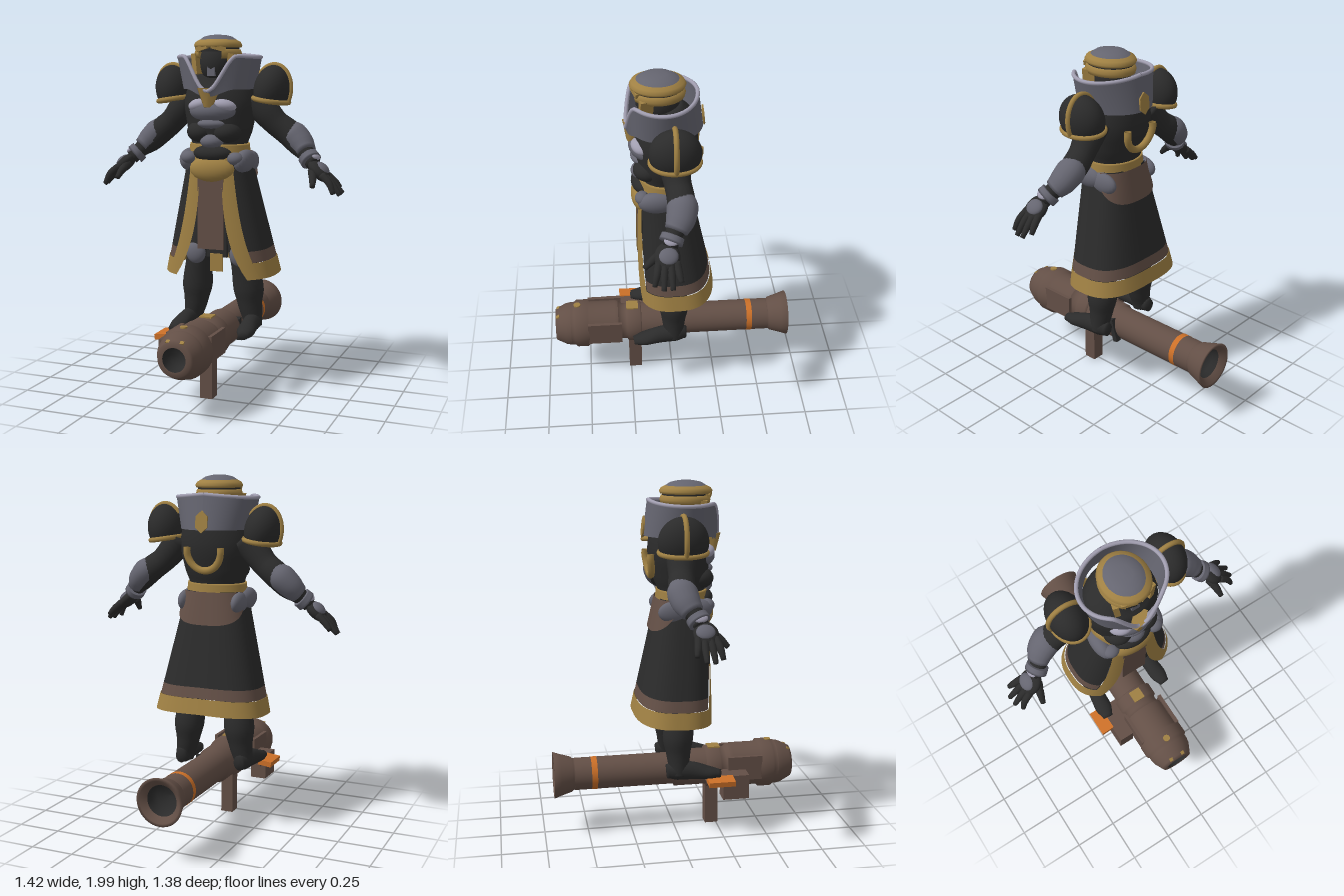
import * as THREE from 'three';
import { mergeVertices } from 'three/addons/utils/BufferGeometryUtils.js';

const paint = (name, color) => new THREE.MeshStandardMaterial({ name, color, side: THREE.DoubleSide });
const black = paint('charcoal', 0x2b2b2b), brown = paint('brown', 0x634f46), gold = paint('gold', 0x9f8043);
const grey = paint('steel', 0x656570), pale = paint('pale steel', 0xa19eb0), orange = paint('orange', 0xcc7028);
const V = (x, y, z) => new THREE.Vector3(x, y, z);
const { sin, cos, PI, min, max, pow, abs, sqrt, sign } = Math;

export function createModel() {
  const root = new THREE.Group();

  // Adds a part, baking its placement into the geometry.
  function add(name, geo, mat, p = [0, 0, 0], s = [1, 1, 1], r = [0, 0, 0]) {
    const q = new THREE.Quaternion().setFromEuler(new THREE.Euler(...r));
    geo.applyMatrix4(new THREE.Matrix4().compose(V(...p), q, V(...s)));
    const m = new THREE.Mesh(geo, mat);
    m.name = name;
    root.add(m);
    return m;
  }
  // Adds a left part and its mirrored right twin.
  function pair(name, geo, mat, p, s, r) {
    const left = add('left' + name, geo, mat, p, s, r);
    const g = left.geometry.clone().scale(-1, 1, 1);
    const ix = g.index.array;
    for (let i = 0; i < ix.length; i += 3) [ix[i], ix[i + 1]] = [ix[i + 1], ix[i]];
    add('right' + name, g, mat);
  }
  // Surface over a grid, fn(u, v) -> Vector3.
  function grid(fn, nu, nv) {
    const pos = [], idx = [];
    for (let j = 0; j <= nv; j++) for (let i = 0; i <= nu; i++) pos.push(...fn(i / nu, j / nv).toArray());
    for (let j = 0; j < nv; j++) for (let i = 0; i < nu; i++) {
      const a = j * (nu + 1) + i, b = a + nu + 1;
      idx.push(a, a + 1, b, a + 1, b + 1, b);
    }
    let g = new THREE.BufferGeometry();
    g.setAttribute('position', new THREE.Float32BufferAttribute(pos, 3));
    g.setIndex(idx);
    g = mergeVertices(g, 1e-5);
    g.computeVertexNormals();
    return g;
  }
  // Rounded limb through sections [x, y, z, half width, half depth].
  function limb(sec, sides = 20) {
    const path = new THREE.CatmullRomCurve3(sec.map(s => V(s[0], s[1], s[2])), false, 'centripetal');
    const size = new THREE.CatmullRomCurve3(sec.map(s => V(s[3], s[4] ?? s[3], 0)), false, 'catmullrom', 0.3);
    const n = (sec.length - 1) * 4;
    return grid((u, v) => {
      const k = v * (n + 2) - 1, t = min(1, max(0, k / n)), c = path.getPoint(t);
      if (k < -0.5 || k > n + 0.5) return c;
      const d = path.getTangent(t), ref = abs(d.z) > 0.8 ? V(0, 1, 0) : V(0, 0, 1);
      const side = V().crossVectors(d, ref).normalize(), up = V().crossVectors(side, d);
      const r = size.getPoint(t), a = (u % 1) * 2 * PI;
      return c.addScaledVector(side, cos(a) * r.x).addScaledVector(up, sin(a) * r.y);
    }, sides, n + 2);
  }
  const ball = () => new THREE.SphereGeometry(1, 24, 16);
  const box = (x, y, z) => new THREE.BoxGeometry(x, y, z);
  const lathe = (pts, a = 0, l = 2 * PI) => new THREE.LatheGeometry(pts.map(p => new THREE.Vector2(...p)), 40, a, l);
  const wire = (pts, r, closed = false) =>
    new THREE.TubeGeometry(new THREE.CatmullRomCurve3(pts, closed), 40, r, 8, closed);
  const arc = (n, a0, a1, fn) => Array.from({ length: n }, (_, i) => fn(a0 + (a1 - a0) * i / (n - 1)));

  // Launcher, lying along z
  const ring = (name, pts, mat) => add(name, lathe(pts), mat, [0, 0.355, 0], [1, 1, 1], [PI / 2, 0, 0]);
  ring('launcherFlare', [[0.085, -0.66], [0.115, -0.69], [0.132, -0.69], [0.118, -0.65], [0.1, -0.59], [0.09, -0.58], [0.09, -0.57]], brown);
  ring('launcherRearBore', [[0, -0.56], [0.075, -0.57], [0.085, -0.62], [0.115, -0.69]], black);
  ring('launcherTube', [[0.086, -0.575], [0.092, -0.57], [0.092, 0], [0.105, 0], [0.105, 0.2]], brown);
  ring('launcherStripe', [[0.0935, -0.478], [0.0935, -0.445]], orange);
  ring('launcherCollar', [[0.1, 0.18], [0.12, 0.19], [0.12, 0.26], [0.105, 0.27], [0.105, 0.3], [0.122, 0.32]], brown);
  ring('launcherHousing', [[0.122, 0.32], [0.126, 0.34], [0.126, 0.49], [0.14, 0.5], [0.14, 0.565], [0.128, 0.58], [0.128, 0.6]], brown);
  ring('launcherNose', [[0.128, 0.6], [0.122, 0.63], [0.1, 0.675], [0.092, 0.69], [0.065, 0.69]], brown);
  ring('launcherMuzzle', [[0.065, 0.69], [0.06, 0.6], [0, 0.6]], black);
  add('launcherStrap', box(0.035, 0.14, 0.03), black, [0.085, 0.345, -0.03], undefined, [0.3, 0, 0]);
  add('launcherGrip', box(0.072, 0.25, 0.075), brown, [0, 0.135, 0.222]);
  pair('LauncherPanel', box(0.02, 0.14, 0.2), brown, [0.12, 0.37, 0.4]);
  add('launcherSight', box(0.09, 0.14, 0.15), brown, [-0.175, 0.295, 0.325]);
  add('sightArm', box(0.14, 0.04, 0.24), brown, [-0.15, 0.345, 0.28]);
  add('sightPlate', box(0.08, 0.03, 0.15), orange, [-0.25, 0.35, 0.23], undefined, [0, 0, 0.12]);
  add('launcherTopPlate', box(0.07, 0.008, 0.07), gold, [0, 0.475, 0.235]);
  add('launcherButton', new THREE.CylinderGeometry(0.02, 0.02, 0.008, 16), gold, [0, 0.496, 0.56]);
  add('noseMark', box(0.1, 0.008, 0.02), gold, [0, 0.446, 0.675], undefined, [0.5, 0, 0]);

  // Legs and boots
  pair('Leg', limb([[0.09, 1.1, 0.02, 0.085], [0.11, 0.88, 0.02, 0.083], [0.135, 0.75, 0.02, 0.075], [0.155, 0.6, 0, 0.086],
    [0.165, 0.5, 0, 0.068], [0.18, 0.42, 0, 0.055], [0.185, 0.38, 0, 0.05]]), black);
  pair('Boot', limb([[0.18, 0.405, -0.07, 0.03, 0.04], [0.185, 0.41, -0.01, 0.047, 0.055], [0.192, 0.405, 0.08, 0.046, 0.05],
    [0.2, 0.39, 0.17, 0.05, 0.035], [0.207, 0.382, 0.235, 0.03, 0.022]]), black);
  pair('Knee', ball(), grey, [0.13, 0.795, 0.085], [0.058, 0.062, 0.035]);

  // Skirt: s runs from the front edge round to the back, t from waist to hem
  function skirt(s, t, off = 0) {
    const rx = 0.165 + 0.155 * t + off, zf = 0.185 + 0.018 * t + off, zb = -0.09 - 0.14 * t - off;
    const edge = 0.06 + 0.02 * t + 0.13 * pow(t, 3.5);
    const a0 = Math.asin(pow(edge / rx, 1 / 0.75)), a = a0 + (PI - a0) * s, c = cos(a);
    return V(rx * pow(abs(sin(a)), 0.75), 1.37 - 0.69 * t + 0.03 * t * s, (zf + zb) / 2 + sign(c) * (zf - zb) / 2 * pow(abs(c), 0.75));
  }
  const cloth = (s0, s1, t0, t1, off) => grid((u, v) => skirt(s0 + (s1 - s0) * u, t0 + (t1 - t0) * v, off), 30, 16);
  pair('SkirtCloth', cloth(0.13, 1, 0, 0.78), black);
  pair('SkirtBand', cloth(0.13, 1, 0.78, 0.87), brown);
  pair('SkirtHem', cloth(0.13, 1, 0.87, 1, 0.004), gold);
  pair('SkirtFrontTrim', cloth(0, 0.13, 0, 1, 0.004), gold);
  pair('BackFlap', grid((u, v) => {
    const s = 0.55 + 0.45 * u;
    return skirt(s, v * (0.06 + 0.21 * sqrt(max(0, 1 - pow(1 - u, 2)))), 0.012);
  }, 20, 8), brown);
  add('tabard', box(0.15, 0.44, 0.012), brown, [0, 1.06, 0.185]);
  add('loinTip', box(0.075, 0.1, 0.012), gold, [0, 0.75, 0.1]);
  add('loinCloth', box(0.12, 0.3, 0.02), black, [0, 0.93, 0.09]);

  // Torso and belt
  add('torso', limb([[0, 1.28, 0.04, 0.15, 0.12], [0, 1.4, 0.045, 0.155, 0.13], [0, 1.5, 0.04, 0.185, 0.155], [0, 1.62, 0.03, 0.205, 0.17],
    [0, 1.73, 0.03, 0.185, 0.155], [0, 1.82, 0.05, 0.1, 0.1]], 32), black);
  add('belt', limb([[0, 1.345, 0.045, 0.177, 0.145], [0, 1.38, 0.045, 0.172, 0.142], [0, 1.415, 0.045, 0.168, 0.14]], 32), gold);
  add('buckle', ball(), gold, [0, 1.28, 0.16], [0.13, 0.078, 0.062]);
  add('buckleTop', ball(), black, [0, 1.365, 0.155], [0.11, 0.05, 0.065]);
  pair('HipPlate', ball(), grey, [0.158, 1.32, 0.085], [0.05, 0.065, 0.105], [0, 0, -0.2]);
  pair('RearHipPlate', ball(), grey, [0.16, 1.31, -0.02], [0.035, 0.06, 0.09]);
  pair('HipBoss', ball(), grey, [0.135, 1.34, 0.165], [0.045, 0.035, 0.04]);
  add('abdomenPlate', ball(), grey, [0, 1.43, 0.15], [0.07, 0.045, 0.07]);
  pair('AbdomenMuscle', ball(), black, [0.075, 1.48, 0.13], [0.08, 0.06, 0.08]);
  add('chestPlate', ball(), grey, [0, 1.595, 0.115], [0.145, 0.075, 0.115]);
  pair('ChestHighlight', ball(), pale, [0.075, 1.625, 0.165], [0.065, 0.035, 0.05], [0, 0.4, -0.2]);
  add('sternumPlate', ball(), grey, [0, 1.525, 0.16], [0.085, 0.03, 0.06]);
  add('backRing', wire(arc(16, PI * 0.95, PI * 2.05, a => V(0.1 * cos(a), 1.6 + 0.11 * sin(a), -0.142 + 0.015 * abs(sin(a)))), 0.02), gold);

  // Collar, open and dipping at the front
  const rise = a => { const k = min(1, a / 0.75); return k * k * (3 - 2 * k); };
  const collar = (a, v, off = 0) => {
    const top = 1.7 + 0.2 * rise(a) - 0.02 * sin(a) * rise(a), low = 1.67 + 0.04 * rise(a);
    const w = 0.2 + 0.035 * v + off, d = a < PI / 2 ? 0.18 + 0.015 * v + off : 0.215 - 0.025 * v + off;
    return V(w * sin(a), low + (top - low) * v, 0.05 + d * cos(a));
  };
  pair('Collar', grid((u, v) => collar(u * PI, v), 36, 8), grey);
  pair('CollarLining', grid((u, v) => collar(u * PI, v, -0.012), 36, 8), grey);
  pair('CollarRim', wire(arc(24, 0, PI, a => collar(a, 1, -0.006)), 0.011), pale);
  add('throatPlate', new THREE.CylinderGeometry(0.07, 0.025, 0.1, 6, 1), gold, [0, 1.665, 0.215], [1, 1, 0.5], [-0.1, PI / 6, 0]);
  add('backEmblemPlate', new THREE.CylinderGeometry(0.05, 0.05, 0.009, 6), gold, [0, 1.755, -0.166], [0.8, 1, 1.2], [PI / 2 + 0.1, 0, 0]);

  // Helmet
  const hat = (name, pts, mat, a, l) => add(name, lathe(pts, a, l), mat, [0, 0, 0.07], [1, 1, 1.13]);
  add('head', ball(), black, [0, 1.85, 0.07], [0.1, 0.12, 0.115]);
  hat('helmetCrown', [[0.098, 1.974], [0.075, 1.99], [0.04, 1.999], [0, 2]], grey);
  hat('helmetBrim', [[0.1, 1.93], [0.124, 1.932], [0.129, 1.945], [0.12, 1.962], [0.098, 1.974]], gold);
  hat('helmetSeam', [[0.114, 1.91], [0.114, 1.935]], black);
  hat('helmetBand', [[0.1, 1.872], [0.122, 1.88], [0.127, 1.9], [0.12, 1.922], [0.105, 1.924]], gold, 0.55, 2 * PI - 1.1);
  pair('CheekGuard', box(0.03, 0.11, 0.07), gold, [0.092, 1.845, 0.135], undefined, [0, 0.3, -0.12]);
  add('mouthGuard', box(0.045, 0.05, 0.03), grey, [0, 1.805, 0.165]);
  pair('Brow', box(0.08, 0.025, 0.03), gold, [0.045, 1.928, 0.185], undefined, [0, 0.35, -0.25]);

  // Shoulder pads with ridge and lower trim
  const tilt = [0, 0, -0.15], at = [0.29, 1.705, 0.003];
  pair('ShoulderPad', new THREE.SphereGeometry(1, 28, 14, 0, 2 * PI, 0, 0.64 * PI), black, at, [0.1, 0.135, 0.135], tilt);
  pair('PadRidge', wire(arc(16, -0.4, 2.6, a => V(0.101 * cos(a), 0.136 * sin(a), 0)), 0.014), gold, at, undefined, tilt);
  pair('PadTrim', wire(arc(20, 0, 2 * PI * 0.95, a => V(0.093 * cos(a), -0.055, 0.126 * sin(a))), 0.014, true), gold, at, undefined, tilt);

  // Arms
  pair('Arm', limb([[0.19, 1.66, 0, 0.08], [0.25, 1.59, 0, 0.078], [0.31, 1.525, -0.01, 0.07], [0.37, 1.48, -0.02, 0.072],
    [0.44, 1.415, -0.01, 0.066], [0.5, 1.355, 0.03, 0.043], [0.54, 1.315, 0.05, 0.04]]), black);
  pair('Forearm', limb([[0.365, 1.5, -0.025, 0.055, 0.06], [0.405, 1.465, -0.025, 0.072, 0.08], [0.45, 1.42, -0.012, 0.068, 0.076],
    [0.49, 1.375, 0.015, 0.052, 0.06]]), grey);
  pair('ElbowPlate', ball(), pale, [0.425, 1.482, -0.015], [0.068, 0.03, 0.05], [0, 0, -0.8]);
  pair('WristCuff', limb([[0.5, 1.355, 0.03, 0.055, 0.06], [0.525, 1.33, 0.045, 0.057, 0.062]]), grey);
  pair('CuffHighlight', ball(), pale, [0.545, 1.36, 0.04], [0.03, 0.016, 0.04], [0, 0, -0.75]);
  pair('Palm', ball(), black, [0.575, 1.28, 0.065], [0.075, 0.036, 0.066], [0, 0, -0.75]);
  pair('HandPlate', ball(), grey, [0.59, 1.295, 0.06], [0.045, 0.025, 0.05], [0, 0, -0.75]);
  [[0.675, 1.19, 0.0], [0.7, 1.165, 0.045], [0.695, 1.16, 0.09], [0.67, 1.17, 0.135]].forEach(([x, y, z], i) => {
    const k = 0.02 + i * 0.03;
    pair('Finger' + (i + 1), limb([[0.6, 1.265, k, 0.02], [0.645, 1.225, (k + z) / 2, 0.019], [x, y, z, 0.013]], 10), black);
  });
  pair('Thumb', limb([[0.545, 1.285, 0.09, 0.026], [0.56, 1.25, 0.14, 0.021], [0.57, 1.21, 0.18, 0.014]], 10), black);

  return root;
}
